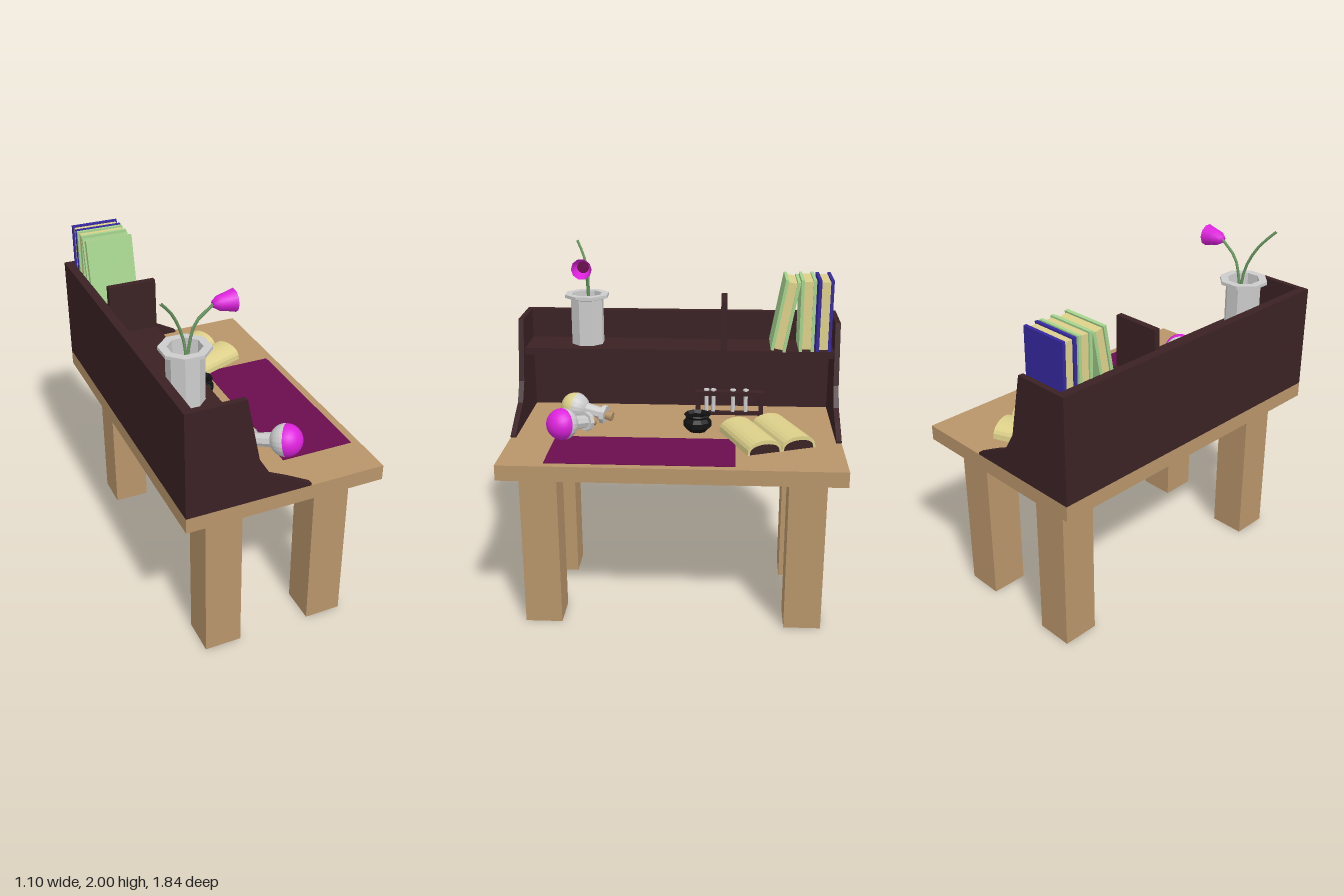
import * as THREE from 'three';

const mat = (name, color, extra = {}) => {
  const m = new THREE.MeshStandardMaterial({ color, ...extra });
  m.name = name;
  return m;
};

export function createModel() {
  const root = new THREE.Group();
  root.name = 'alchemyDesk';
  const wood = mat('tan wood', 0xb8956a);
  const dark = mat('dark wood', 0x3a2124);
  const plum = mat('plum cloth', 0x6b0d4e);
  const magenta = mat('magenta', 0xdd22dd, { side: THREE.DoubleSide });
  const glass = mat('pale glass', 0xcccccc, { flatShading: true });
  const black = mat('black iron', 0x121212, { flatShading: true });
  const green = mat('green cover', 0xa6d48f);
  const blue = mat('blue cover', 0x3628a0);
  const paper = mat('paper', 0xddd08a);
  const stemGreen = mat('stem green', 0x6d9a63);

  const add = (name, geo, material, parent = root, pos = [0, 0, 0]) => {
    const m = new THREE.Mesh(geo, material);
    m.name = name;
    m.position.set(...pos);
    parent.add(m);
    return m;
  };
  // box given by its extents on each axis
  const box = (name, x0, x1, y0, y1, z0, z1, material, parent = root) =>
    add(name, new THREE.BoxGeometry(x1 - x0, y1 - y0, z1 - z0), material, parent,
      [(x0 + x1) / 2, (y0 + y1) / 2, (z0 + z1) / 2]);
  const lathe = (pts, n) => new THREE.LatheGeometry(pts.map(p => new THREE.Vector2(...p)), n);
  const shapeOf = pts => new THREE.Shape(pts.map(p => new THREE.Vector2(...p)));

  // table
  box('tableTop', -0.55, 0.55, 0.915, 1.0, -0.92, 0.92, wood);
  for (const sx of [-1, 1]) for (const sz of [-1, 1])
    add('leg', new THREE.BoxGeometry(0.205, 0.915, 0.205), wood, root, [sx * 0.307, 0.4575, sz * 0.725]);
  box('deskMat', 0.1, 0.505, 1.0, 1.004, -0.335, 0.67, plum);

  // hutch: back, shelf, divider and curved sides
  box('hutchBack', -0.55, -0.5, 1, 1.59, -0.89, 0.89, dark);
  box('shelf', -0.5, -0.235, 1.38, 1.42, -0.89, 0.89, dark);
  box('divider', -0.5, -0.235, 1.42, 1.7, -0.278, -0.243, dark);
  const side = shapeOf([[-0.55, 1], [0.13, 1], [0.13, 1.012], [0.0, 1.082], [-0.1, 1.13],
    [-0.165, 1.24], [-0.235, 1.59], [-0.55, 1.59]]);
  for (const z of [-0.92, 0.89])
    add('hutchSide', new THREE.ExtrudeGeometry(side, { depth: 0.03, bevelEnabled: false }), dark, root, [0, 0, z]);

  // standing books: two covers around a page block
  const book = (z, cover, tilt) => {
    const g = new THREE.Group();
    g.name = 'book';
    for (const s of [-1, 1])
      box('cover', -0.502, -0.235, 0, 0.41, s * 0.034 - 0.009, s * 0.034 + 0.009, cover, g);
    box('pages', -0.492, -0.245, 0.01, 0.4, -0.025, 0.025, paper, g);
    g.position.set(0, 1.42, z);
    g.rotation.x = tilt;
    root.add(g);
  };
  book(-0.83, blue, 0);
  book(-0.733, green, 0);
  book(-0.572, green, -0.18);

  // open book: two arched pages, dark below
  const open = new THREE.Group();
  open.name = 'openBook';
  const arch = (rx, ry, base) => {
    const pts = [];
    for (let i = 0; i <= 12; i++) {
      const a = Math.PI * i / 12;
      pts.push([rx * Math.cos(a), base + ry * Math.pow(Math.sin(a), 0.7)]);
    }
    return pts;
  };
  for (const s of [-1, 1]) {
    const shell = shapeOf([...arch(0.1, 0.076, 0.002), ...arch(0.088, 0.054, 0.002).reverse()]);
    add('page', new THREE.ExtrudeGeometry(shell, { depth: 0.41, bevelEnabled: false }), paper, open, [s * 0.1, 0, -0.205]);
    add('pageShadowFill', new THREE.ExtrudeGeometry(shapeOf(arch(0.088, 0.054, 0.002)),
      { depth: 0.4, bevelEnabled: false }), dark, open, [s * 0.1, 0, -0.2]);
  }
  open.position.set(0.085, 1, -0.508);
  open.rotation.y = -1.185;
  root.add(open);

  // small cauldron
  add('cauldron', lathe([[0, 0.005], [0.05, 0.005], [0.08, 0.035], [0.08, 0.065], [0.062, 0.085],
    [0.076, 0.1], [0.072, 0.108], [0.055, 0.09], [0.06, 0.05], [0, 0.03]], 10), black, root, [-0.03, 1, -0.12]);

  // test tube rack under the shelf
  const rack = new THREE.Group();
  rack.name = 'tubeRack';
  for (const z of [-0.115, -0.485]) {
    box('rackFoot', -0.32, -0.235, 1, 1.018, z - 0.015, z + 0.015, dark, rack);
    box('rackPost', -0.29, -0.262, 1, 1.165, z - 0.013, z + 0.013, dark, rack);
  }
  box('rackBar', -0.3, -0.25, 1.14, 1.165, -0.5, -0.1, dark, rack);
  box('rackBase', -0.29, -0.262, 1.02, 1.04, -0.485, -0.115, dark, rack);
  for (const z of [-0.165, -0.205, -0.32, -0.395]) {
    add('testTube', new THREE.CylinderGeometry(0.012, 0.012, 0.135, 8), glass, rack, [-0.276, 1.105, z]);
    add('tubeLip', new THREE.CylinderGeometry(0.017, 0.017, 0.008, 8), glass, rack, [-0.276, 1.172, z]);
  }
  root.add(rack);

  // lying round flasks, half filled
  const flask = (x, z, dx, dz, fill, r) => {
    const g = new THREE.Group();
    g.name = 'flask';
    const half = Math.PI / 2;
    add('bulbTop', new THREE.SphereGeometry(r, 20, 8, 0, Math.PI * 2, 0, half), glass, g);
    add('bulbFill', new THREE.SphereGeometry(r, 20, 8, 0, Math.PI * 2, half, half), fill, g);
    add('neck', new THREE.CylinderGeometry(0.034, 0.042, 0.12, 8), glass, g, [0, 0.125, 0]);
    add('neckRing', new THREE.CylinderGeometry(0.054, 0.054, 0.025, 8), glass, g, [0, 0.18, 0]);
    add('cork', new THREE.CylinderGeometry(0.028, 0.024, 0.045, 8), wood, g, [0, 0.212, 0]);
    g.position.set(x, 1 + r, z);
    g.quaternion.setFromUnitVectors(new THREE.Vector3(0, 1, 0), new THREE.Vector3(dx, -0.17, dz).normalize());
    root.add(g);
  };
  flask(0.138, 0.625, -0.75, -0.66, magenta, 0.089);
  flask(-0.188, 0.6, 0.25, -0.97, paper, 0.083);

  // vase with two stems and one bloom
  const vase = new THREE.Group();
  vase.name = 'vase';
  const body = add('vaseBody', lathe([[0, 0], [0.097, 0], [0.097, 0.265], [0.132, 0.275], [0.132, 0.293],
    [0.088, 0.293], [0.085, 0.02]], 8), glass, vase);
  body.rotation.y = Math.PI / 8;
  add('vaseFloor', new THREE.CircleGeometry(0.086, 8), dark, vase, [0, 0.02, 0]).rotation.x = -Math.PI / 2;
  add('vaseSoil', new THREE.CircleGeometry(0.084, 6, Math.PI / 2, Math.PI), wood, vase, [0, 0.024, 0]).rotation.x = -Math.PI / 2;
  vase.position.set(-0.385, 1.42, 0.54);
  root.add(vase);
  const stem = pts => add('stem', new THREE.TubeGeometry(
    new THREE.CatmullRomCurve3(pts.map(p => new THREE.Vector3(...p))), 10, 0.008, 5), stemGreen);
  stem([[-0.37, 1.44, 0.53], [-0.385, 1.72, 0.53], [-0.41, 1.81, 0.535], [-0.46, 1.91, 0.56], [-0.53, 1.995, 0.607]]);
  stem([[-0.385, 1.44, 0.535], [-0.36, 1.71, 0.53], [-0.325, 1.82, 0.53], [-0.23, 1.9, 0.53]]);
  const bloom = add('bloom', lathe([[0, 0], [0.018, 0], [0.038, 0.03], [0.047, 0.07], [0.058, 0.112]], 10),
    magenta, root, [-0.237, 1.9, 0.53]);
  bloom.rotation.z = -Math.PI / 2;
  add('bloomHeart', new THREE.CircleGeometry(0.034, 10), plum, root, [-0.195, 1.9, 0.53]).rotation.y = Math.PI / 2;

  return root;
}
